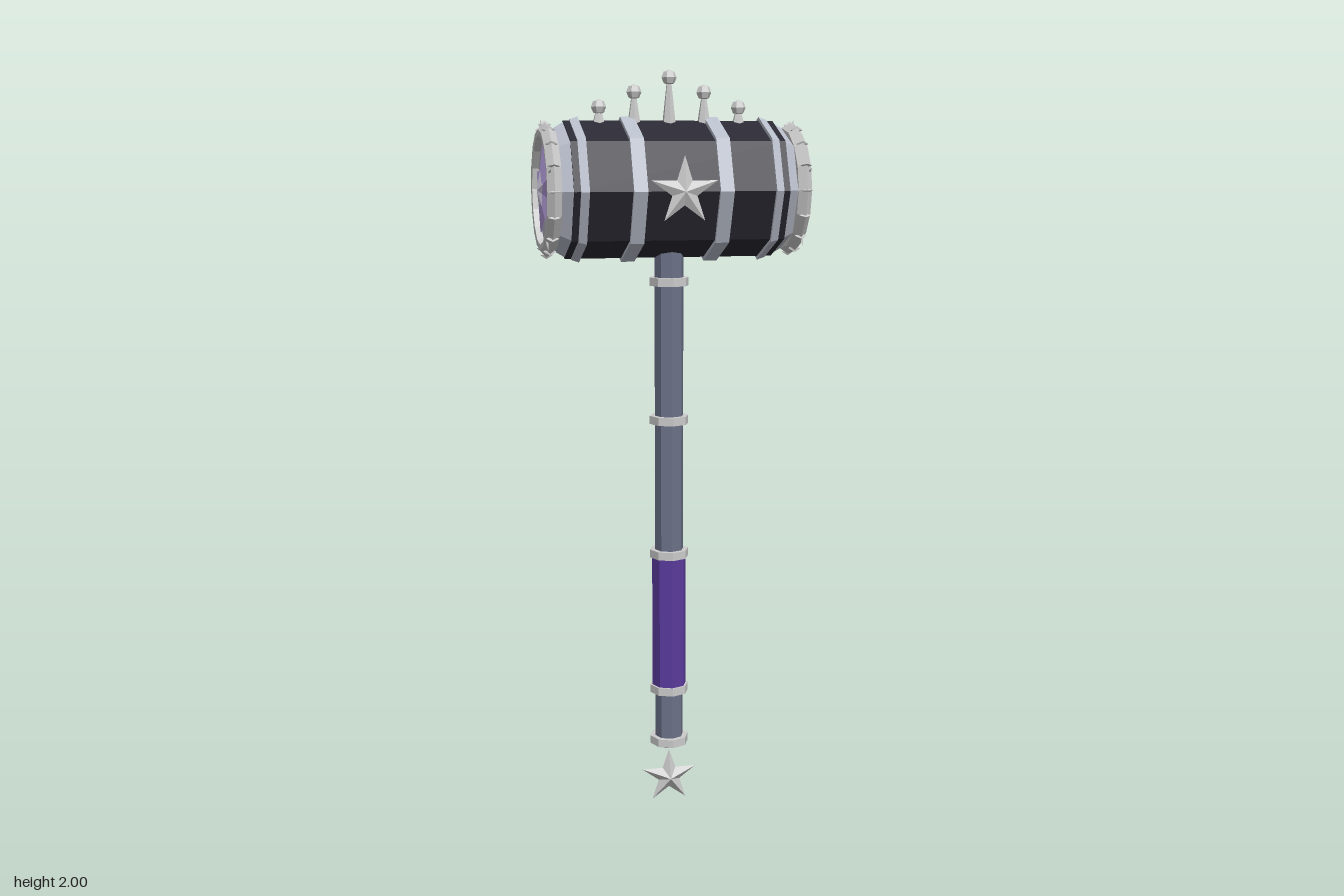
import * as THREE from 'three';

const mat = (color) => new THREE.MeshStandardMaterial({ color, flatShading: true });
const silver = mat(0xcccccc), band = mat(0xb9becb), dark = mat(0x2b2933), steel = mat(0x6b7187);
const purple = mat(0x5a3a9c), lilac = mat(0xb7a0e0), pale = mat(0xd6d0e4), plate = mat(0xb6b8c8);

const HEAD_Y = 1.695;

function add(parent, name, geometry, material, x = 0, y = 0, z = 0) {
  const mesh = new THREE.Mesh(geometry, material);
  mesh.name = name;
  mesh.position.set(x, y, z);
  parent.add(mesh);
  return mesh;
}

// Faceted solid of revolution about y; profile is [radius, height] going up
const turned = (profile, sides = 8) =>
  new THREE.LatheGeometry(profile.map(([r, h]) => new THREE.Vector2(r, h)), sides);

// The same, laid along +x
const turnedX = (profile, sides) => turned(profile, sides).rotateZ(-Math.PI / 2);

// Five-pointed star facing +z, raised to a point on both faces
function star(outer, inner, depth) {
  const p = [];
  const rim = (i) => {
    const a = Math.PI / 2 + (i * Math.PI) / 5, r = i % 2 ? inner : outer;
    return [r * Math.cos(a), r * Math.sin(a), 0];
  };
  for (let i = 0; i < 10; i++) {
    p.push(...rim(i), ...rim(i + 1), 0, 0, depth);
    p.push(...rim(i + 1), ...rim(i), 0, 0, -depth);
  }
  const g = new THREE.BufferGeometry();
  g.setAttribute('position', new THREE.Float32BufferAttribute(p, 3));
  g.computeVertexNormals();
  return g;
}

// One end of the head, built towards +x
function headEnd() {
  const end = new THREE.Group();
  add(end, 'taperedBand', turnedX([[0.17, 0.24], [0.186, 0.24], [0.179, 0.261], [0.17, 0.261]]), band);
  add(end, 'collar', turnedX([[0.172, 0.278], [0.155, 0.306]]), band);
  add(end, 'rim', turnedX([[0.13, 0.304], [0.157, 0.305], [0.172, 0.325], [0.154, 0.342],
    [0.139, 0.341], [0.137, 0.32]], 16), silver);
  add(end, 'facePlate', turnedX([[0.142, 0.31], [0.142, 0.324], [0, 0.324]], 16), plate);
  add(end, 'faceStar', star(0.15, 0.062, 0.018).rotateY(Math.PI / 2), lilac, 0.327);
  add(end, 'faceStarCentre', star(0.07, 0.03, 0.011).rotateY(Math.PI / 2), pale, 0.336);
  // Studs round the rim, longer at the star points
  for (let i = 0; i < 16; i++) {
    const a = (i * Math.PI) / 8;
    const stud = add(end, 'rimStud', new THREE.OctahedronGeometry(1), silver,
      0.325, 0.165 * Math.cos(a), 0.165 * Math.sin(a));
    stud.scale.set(0.017, 0.011, 0.005);
    stud.rotation.x = a;
  }
  for (let i = 0; i < 5; i++) {
    const a = (i * Math.PI * 2) / 5;
    const spike = add(end, 'rimSpike', new THREE.ConeGeometry(0.005, 0.03, 4), silver,
      0.335, 0.165 * Math.cos(a), 0.165 * Math.sin(a));
    spike.rotation.x = a;
  }
  return end;
}

export function createModel() {
  const model = new THREE.Group();
  model.name = 'hammer';

  // Head
  const head = new THREE.Group();
  head.name = 'head';
  head.position.y = HEAD_Y;
  model.add(head);
  add(head, 'barrel', turnedX([[0, -0.278], [0.176, -0.278], [0.176, 0.278], [0, 0.278]]), dark);
  for (const s of [-1, 1]) {
    add(head, 'headBand', turnedX([[0.17, -0.018], [0.186, -0.018], [0.186, 0.018], [0.17, 0.018]]),
      band, s * 0.111);
    const end = headEnd();
    end.name = s > 0 ? 'leftEnd' : 'rightEnd';
    if (s < 0) end.rotation.y = Math.PI;
    head.add(end);
    add(head, s > 0 ? 'frontStar' : 'backStar', star(0.09, 0.034, 0.015), silver, 0, 0, s * 0.185);
  }

  // Crown of ball-topped spikes, tallest in the middle
  const crown = new THREE.Group();
  crown.name = 'crown';
  model.add(crown);
  for (let i = -2; i <= 2; i++) {
    const x = i * 0.0925, ballY = [1.98, 1.943, 1.905][Math.abs(i)];
    const h = ballY - 1.855;
    add(crown, 'crownSpike', new THREE.CylinderGeometry(0.005, 0.019, h, 6), silver, x, 1.855 + h / 2);
    add(crown, 'crownBall', new THREE.SphereGeometry(0.02, 6, 4), silver, x, ballY);
  }

  // Handle
  const handle = new THREE.Group();
  handle.name = 'handle';
  model.add(handle);
  add(handle, 'shaft', turned([[0, 0.163], [0.039, 0.163], [0.039, 1.56], [0, 1.56]]), steel);
  add(handle, 'grip', turned([[0.035, 0.33], [0.047, 0.33], [0.047, 0.715], [0.035, 0.715]]), purple);
  for (const y of [0.18, 0.33, 0.716, 1.086, 1.456]) {
    add(handle, 'handleRing',
      turned([[0.036, -0.011], [0.053, -0.011], [0.053, 0.011], [0.036, 0.011]]), silver, 0, y);
  }

  // Pommel
  add(model, 'pommelStar', star(0.08, 0.031, 0.026), silver, 0, 0.066);

  return model;
}
